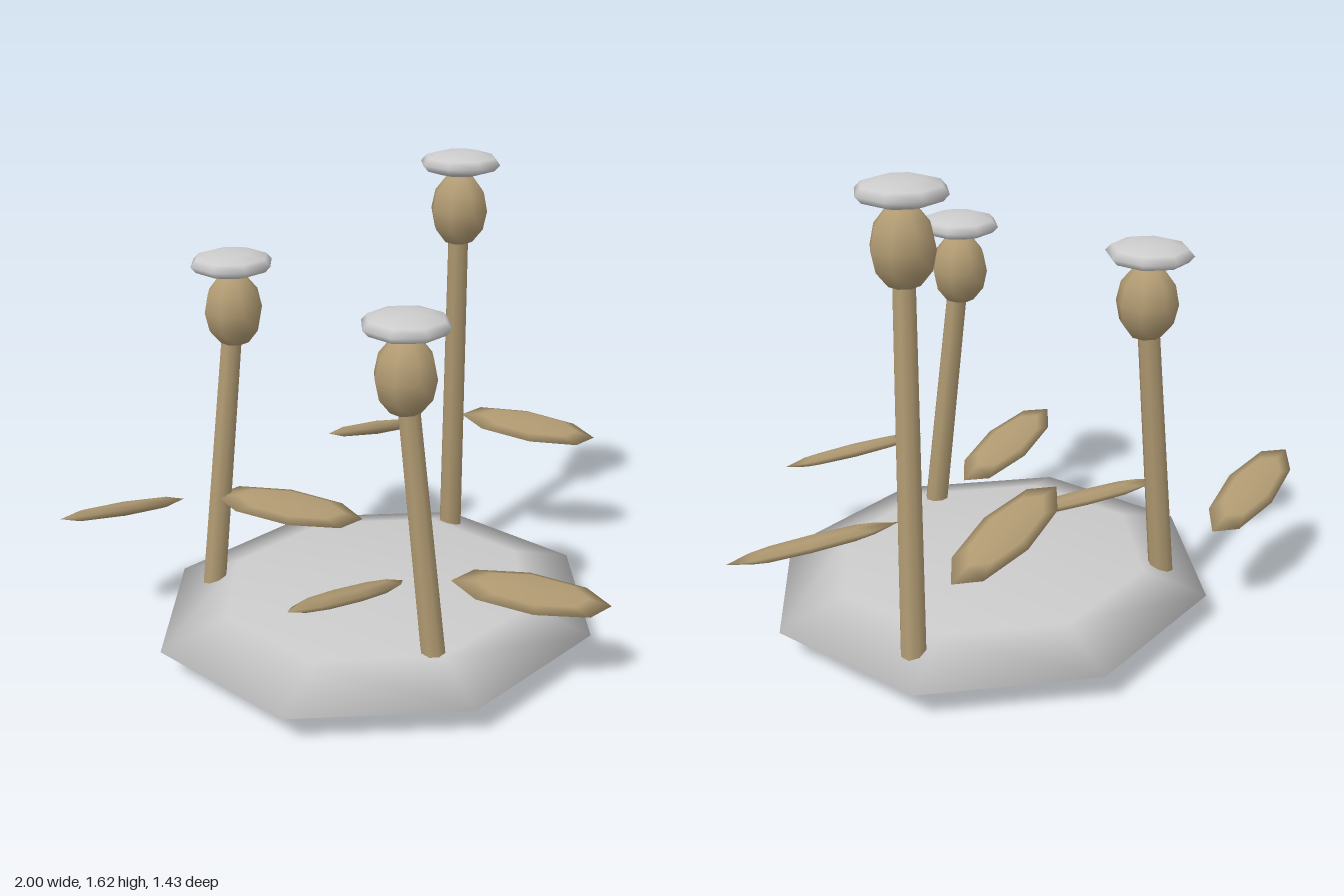
import * as THREE from 'three';

const grey = new THREE.MeshStandardMaterial({ color: 0xcccccc });
const tan = new THREE.MeshStandardMaterial({ color: 0xb09a72 });

// Low-poly ellipsoid with smooth normals
function ellipsoid(name, material, radii, position, rings) {
  const mesh = new THREE.Mesh(new THREE.SphereGeometry(1, 8, rings), material);
  mesh.name = name;
  mesh.scale.set(...radii);
  mesh.position.set(...position);
  return mesh;
}

// Tapered cylinder from foot to top
function stem(foot, top) {
  const a = new THREE.Vector3(...foot);
  const b = new THREE.Vector3(...top);
  const dir = b.clone().sub(a);
  const mesh = new THREE.Mesh(new THREE.CylinderGeometry(0.035, 0.043, dir.length(), 8), tan);
  mesh.name = 'stem';
  mesh.position.copy(a).add(b).multiplyScalar(0.5);
  mesh.quaternion.setFromUnitVectors(new THREE.Vector3(0, 1, 0), dir.normalize());
  return mesh;
}

// Stem, bud, cap and a pair of leaves that slope down away from each other
function plant({ foot, head, leafY }) {
  const group = new THREE.Group();
  group.name = 'plant';
  group.add(stem(foot, head));
  group.add(ellipsoid('bud', tan, [0.1, 0.127, 0.1], head, 6));
  group.add(ellipsoid('cap', grey, [0.14, 0.042, 0.14], [head[0], head[1] + 0.16, head[2]], 6));
  for (const s of [-1, 1]) {
    const center = [foot[0] + s * 0.265, leafY, foot[2] + s * 0.115];
    const leaf = ellipsoid('leaf', tan, [0.262, 0.025, 0.085], center, 4);
    leaf.rotation.set(s * 0.39, -s * 0.43, -0.05);
    group.add(leaf);
  }
  return group;
}

export function createModel() {
  const model = new THREE.Group();
  model.name = 'plantsOnMound';

  // Flat eight-sided mound
  model.add(ellipsoid('mound', grey, [0.79, 0.1, 0.715], [0.015, 0.11, -0.005], 4));

  const plants = [
    { foot: [-0.495, 0.03, -0.33], head: [-0.365, 1.145, -0.33], leafY: 0.435 },
    { foot: [0.01, 0.005, 0.47], head: [-0.075, 1.105, 0.383], leafY: 0.392 },
    { foot: [0.495, 0.08, -0.365], head: [0.437, 1.422, -0.255], leafY: 0.557 },
  ];
  for (const p of plants) model.add(plant(p));
  return model;
}
